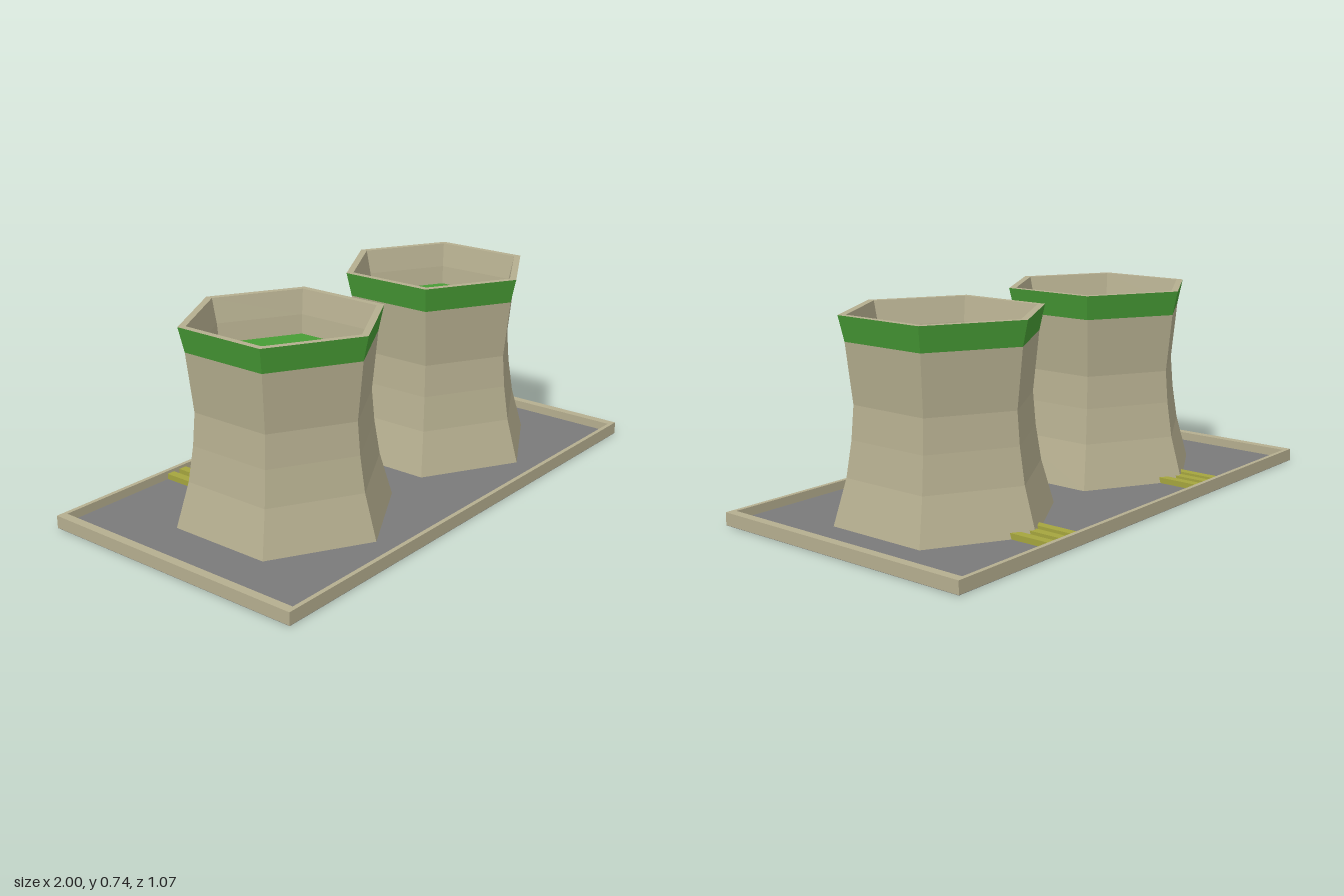
import * as THREE from 'three';

const mat = (color) => new THREE.MeshStandardMaterial({ color, flatShading: true });

function part(name, geometry, material, x = 0, y = 0, z = 0) {
  const mesh = new THREE.Mesh(geometry, material);
  mesh.name = name;
  mesh.position.set(x, y, z);
  return mesh;
}

// Six-sided shell from [radius, height] pairs
const hexShell = (pairs) =>
  new THREE.LatheGeometry(pairs.map(([r, y]) => new THREE.Vector2(r, y)), 6).toNonIndexed();

function rectangle(PathType, halfW, halfD) {
  const p = new PathType();
  p.moveTo(-halfW, -halfD);
  p.lineTo(halfW, -halfD);
  p.lineTo(halfW, halfD);
  p.lineTo(-halfW, halfD);
  p.closePath();
  return p;
}

export function createModel() {
  const concrete = mat(0xb5ae8f);
  const green = mat(0x479c35);
  const asphalt = mat(0x7a7a7a);
  const yellow = mat(0xa5a53e);
  const model = new THREE.Group();
  model.name = 'coolingTowers';

  // Ground slab with a raised kerb
  const W = 1, D = 0.537, innerW = 0.967, innerD = 0.521, floorY = 0.015;
  const outline = rectangle(THREE.Shape, W, D);
  outline.holes.push(rectangle(THREE.Path, innerW, innerD));
  const kerb = new THREE.ExtrudeGeometry(outline, { depth: 0.046, bevelEnabled: false });
  kerb.rotateX(-Math.PI / 2);
  model.add(part('kerb', kerb, concrete, 0, 0.001, 0));
  model.add(part('underside', new THREE.BoxGeometry(2 * W, 0.001, 2 * D), asphalt, 0, 0.0005, 0));
  model.add(part('floor', new THREE.BoxGeometry(2 * innerW, floorY, 2 * innerD), asphalt, 0, floorY / 2, 0));

  // Waisted hexagonal towers, open at the top
  const wall = hexShell([[0.401, floorY], [0.352, 0.18], [0.331, 0.31], [0.321, 0.43], [0.345, 0.645]]);
  const band = hexShell([[0.345, 0.645], [0.366, 0.735]]);
  const lining = hexShell([[0.366, 0.735], [0.338, 0.735], [0.318, 0.645], [0.308, 0.56]]);
  const basin = new THREE.CylinderGeometry(0.311, 0.311, 0.015, 6);
  const pipe = new THREE.BoxGeometry(0.032, 0.037, 0.39);

  for (const x of [-0.415, 0.46]) {
    const tower = new THREE.Group();
    tower.name = 'tower';
    tower.position.set(x, 0, 0.008);
    tower.add(
      part('towerWall', wall, concrete),
      part('greenBand', band, green),
      part('rimAndLining', lining, concrete),
      part('basin', basin, green, 0, 0.567, 0)
    );
    // Three pipes running from the back kerb under the tower
    for (const i of [-1, 0, 1]) {
      tower.add(part('pipe', pipe, yellow, i * 0.06, 0.0175, -0.334));
    }
    model.add(tower);
  }
  return model;
}
